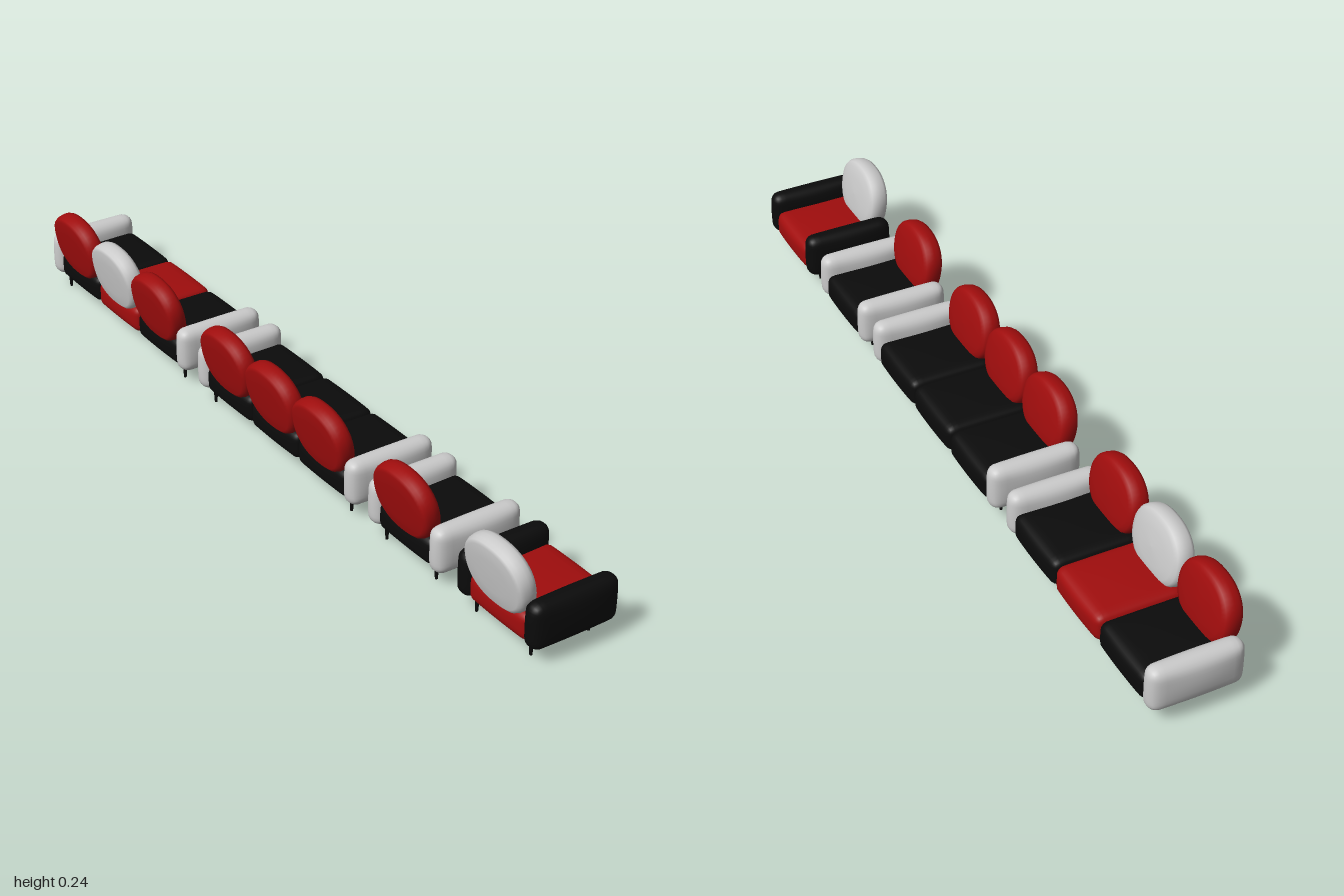
import * as THREE from 'three';
import { mergeVertices } from 'three/addons/utils/BufferGeometryUtils.js';

const mat = (color) => new THREE.MeshStandardMaterial({ color, roughness: 0.8 });
const PITCH = 0.191; // width of one seat
const ARM_OUT = 0.048; // how far an arm reaches past the seats

// Rounded box whose faces swell outwards: half sizes h, edge radius r, swelling b per axis
function cushion(h, r, b) {
  let g = new THREE.BoxGeometry(2, 2, 2, 16, 16, 16);
  g.deleteAttribute('uv');
  g.deleteAttribute('normal');
  g = mergeVertices(g, 1e-4);
  const pos = g.attributes.position;
  const base = h.map((v, i) => v - b[i]);
  for (let n = 0; n < pos.count; n++) {
    const raw = [pos.getX(n), pos.getY(n), pos.getZ(n)];
    // crowd the rows towards the edges, then round the edges
    const p = raw.map((t, i) => Math.sin(t * Math.PI / 2) * base[i]);
    const core = p.map((v, i) => THREE.MathUtils.clamp(v, r - base[i], base[i] - r));
    const d = p.map((v, i) => v - core[i]);
    const len = Math.hypot(...d) || 1;
    const q = core.map((v, i) => v + d[i] / len * r);
    const fall = q.map((v, i) => 1 - (v / base[i]) ** 2);
    const out = q.map((v, i) => v * (1 + b[i] / base[i] * fall[(i + 1) % 3] * fall[(i + 2) % 3]));
    pos.setXYZ(n, ...out);
  }
  g.computeVertexNormals();
  return g;
}

// Pillow-shaped disc facing +x, slightly squarer than an ellipse
function backrestGeometry() {
  const profile = [
    [0, -0.026], [0.5, -0.0258], [0.85, -0.0245], [0.94, -0.021], [0.985, -0.013], [1, 0],
    [0.985, 0.011], [0.93, 0.019], [0.8, 0.0235], [0.5, 0.0268], [0, 0.028],
  ].map(([x, y]) => new THREE.Vector2(x, y));
  const g = new THREE.LatheGeometry(profile, 48);
  g.rotateZ(-Math.PI / 2);
  const pos = g.attributes.position;
  const power = 2.3;
  for (let i = 0; i < pos.count; i++) {
    const y = pos.getY(i), z = pos.getZ(i);
    const rad = Math.hypot(y, z);
    if (rad < 1e-6) continue;
    const k = 1 / ((Math.abs(y) / rad) ** power + (Math.abs(z) / rad) ** power) ** (1 / power);
    pos.setXYZ(i, pos.getX(i), y * k * 0.08, z * k * 0.097);
  }
  g.computeVertexNormals();
  // close the shading seam where the sweep starts and ends
  const nor = g.attributes.normal, rows = profile.length;
  for (let j = 0; j < rows; j++) {
    const e = 48 * rows + j;
    const v = new THREE.Vector3().fromBufferAttribute(nor, j)
      .add(new THREE.Vector3().fromBufferAttribute(nor, e)).normalize();
    nor.setXYZ(j, v.x, v.y, v.z);
    nor.setXYZ(e, v.x, v.y, v.z);
  }
  return g;
}

export function createModel() {
  const root = new THREE.Group();
  root.name = 'seatingSet';
  const red = mat(0xa00d0d), black = mat(0x0b0b0b), grey = mat(0xcccccc);

  const seatGeo = cushion([0.111, 0.0395, 0.0975], 0.02, [0.005, 0.005, 0.001]);
  const armGeo = cushion([0.1125, 0.056, 0.033], 0.022, [0.003, 0.001, 0.009]);
  const backGeo = backrestGeometry();
  const legGeo = new THREE.CylinderGeometry(0.006, 0.0032, 0.045, 16);

  const add = (parent, name, geo, material, x, y, z) => {
    const m = new THREE.Mesh(geo, material);
    m.name = name;
    m.position.set(x, y, z);
    parent.add(m);
    return m;
  };

  // One sofa: a list of [seat, backrest] materials from its +z end to its -z end
  function sofa(name, z, armMat, places) {
    const g = new THREE.Group();
    g.name = name;
    g.position.z = z;
    const half = places.length * PITCH / 2;
    places.forEach(([seatMat, backMat], i) => {
      const pz = half - PITCH * (i + 0.5);
      add(g, 'seat', seatGeo, seatMat, 0.011, 0.0705, pz);
      add(g, 'backrest', backGeo, backMat, -0.087, 0.158, pz).rotation.z = 0.17;
    });
    for (const s of [-1, 1]) {
      add(g, 'armrest', armGeo, armMat, 0.0095, 0.09, s * (half + ARM_OUT - 0.033));
      for (const x of [-0.072, 0.078]) add(g, 'leg', legGeo, black, x, 0.0225, s * (half - 0.006));
    }
    root.add(g);
  }

  const dark = [black, red], bright = [red, grey];
  sofa('accentArmchair', 0.8565, black, [bright]);
  sofa('armchair', 0.538, grey, [dark]);
  sofa('sofa', 0.035, grey, [dark, dark, dark]);
  sofa('accentSofa', -0.6655, grey, [dark, bright, dark]);
  return root;
}
